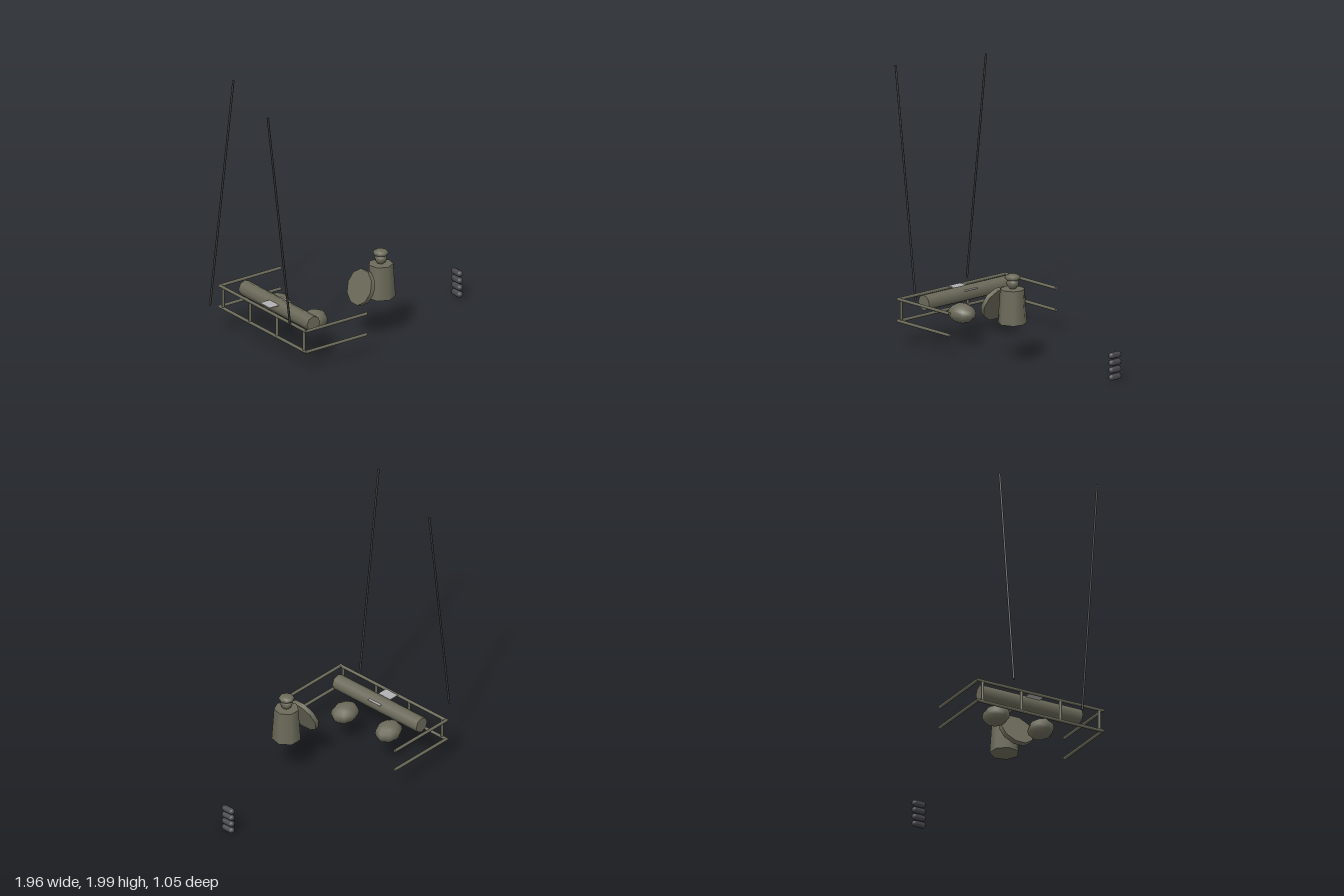
import * as THREE from 'three';

const mat = (name, color) => {
  const m = new THREE.MeshStandardMaterial({ color });
  m.name = name;
  return m;
};

export function createModel() {
  const group = new THREE.Group();
  const olive = mat('olive grey', 0x6b6a5a);
  const dark = mat('dark rod', 0x3c3c3c);
  const iron = mat('dark iron', 0x47474c);
  const pale = mat('pale sheet', 0xb2b2b4);
  pale.side = THREE.DoubleSide;

  const add = (name, geometry, material, x = 0, y = 0, z = 0, parent = group) => {
    const mesh = new THREE.Mesh(geometry, material);
    mesh.name = name;
    mesh.position.set(x, y, z);
    parent.add(mesh);
    return mesh;
  };

  // Straight round bar between two points
  const bar = (name, a, b, radius, material, sides = 8) => {
    const from = new THREE.Vector3(...a), to = new THREE.Vector3(...b);
    const dir = to.clone().sub(from);
    const mesh = add(name, new THREE.CylinderGeometry(radius, radius, dir.length(), sides), material);
    mesh.position.copy(from).add(to).multiplyScalar(0.5);
    mesh.quaternion.setFromUnitVectors(new THREE.Vector3(0, 1, 0), dir.normalize());
    return mesh;
  };

  // Three-sided railing: two heights of rail and a row of posts at the back
  const backX = -0.762;
  for (const y of [0.19, 0.35]) {
    bar('backRail', [backX, y, -0.52], [backX, y, 0.515], 0.012, olive);
    for (const z of [-0.517, 0.51])
      bar('sideRail', [-0.77, y, z], [-0.225, y, z], 0.012, olive);
  }
  for (let i = 0; i < 4; i++) {
    const z = -0.476 + i * 0.32;
    bar('railPost', [backX, 0.19, z], [backX, 0.35, z], 0.011, olive);
  }

  // Tall leaning rods, tilted opposite ways
  bar('leftRod', [-0.772, 0.31, 0.338], [-0.977, 2, 0.342], 0.008, dark, 6);
  bar('rightRod', [-0.977, 0.31, -0.345], [-0.772, 2, -0.342], 0.008, dark, 6);

  // Long roll with a thin sheet running through it
  bar('roll', [-0.616, 0.333, -0.414], [-0.616, 0.333, 0.402], 0.058, olive, 8);
  add('sheet', new THREE.BoxGeometry(0.19, 0.006, 0.116), pale, -0.648, 0.366, -0.006);

  // Sacks
  for (const [x, z, turn] of [[-0.454, 0.182, 0], [-0.492, -0.208, 0.15]]) {
    const sack = add('sack', new THREE.SphereGeometry(1, 8, 8), olive, x, 0.25, z);
    sack.scale.set(0.113, 0.072, 0.091);
    sack.rotation.y = turn;
  }

  // Standing figure: tapered body, head and flat cap
  const figure = new THREE.Group();
  figure.name = 'figure';
  figure.position.set(0.117, 0, 0.217);
  group.add(figure);
  add('body', new THREE.CylinderGeometry(0.09, 0.106, 0.25, 7), olive, 0, 0.425, 0, figure);
  add('head', new THREE.SphereGeometry(0.045, 8, 6), olive, 0, 0.592, 0, figure);
  const cap = add('cap', new THREE.SphereGeometry(1, 8, 6), olive, 0, 0.634, 0, figure);
  cap.scale.set(0.058, 0.027, 0.058);

  // Round shield leaning toward the figure
  const shield = add('shield', new THREE.CylinderGeometry(0.133, 0.133, 0.034, 10), olive, -0.055, 0.408, 0.214);
  shield.rotation.z = 1.195;

  // Stack of small rounded bars
  for (let i = 0; i < 4; i++) {
    const lug = add('stackedBar', new THREE.CapsuleGeometry(0.024, 0.062, 4, 8), iron, 0.956, 0.03 + i * 0.0535, 0);
    lug.rotation.x = Math.PI / 2;
  }

  return group;
}
